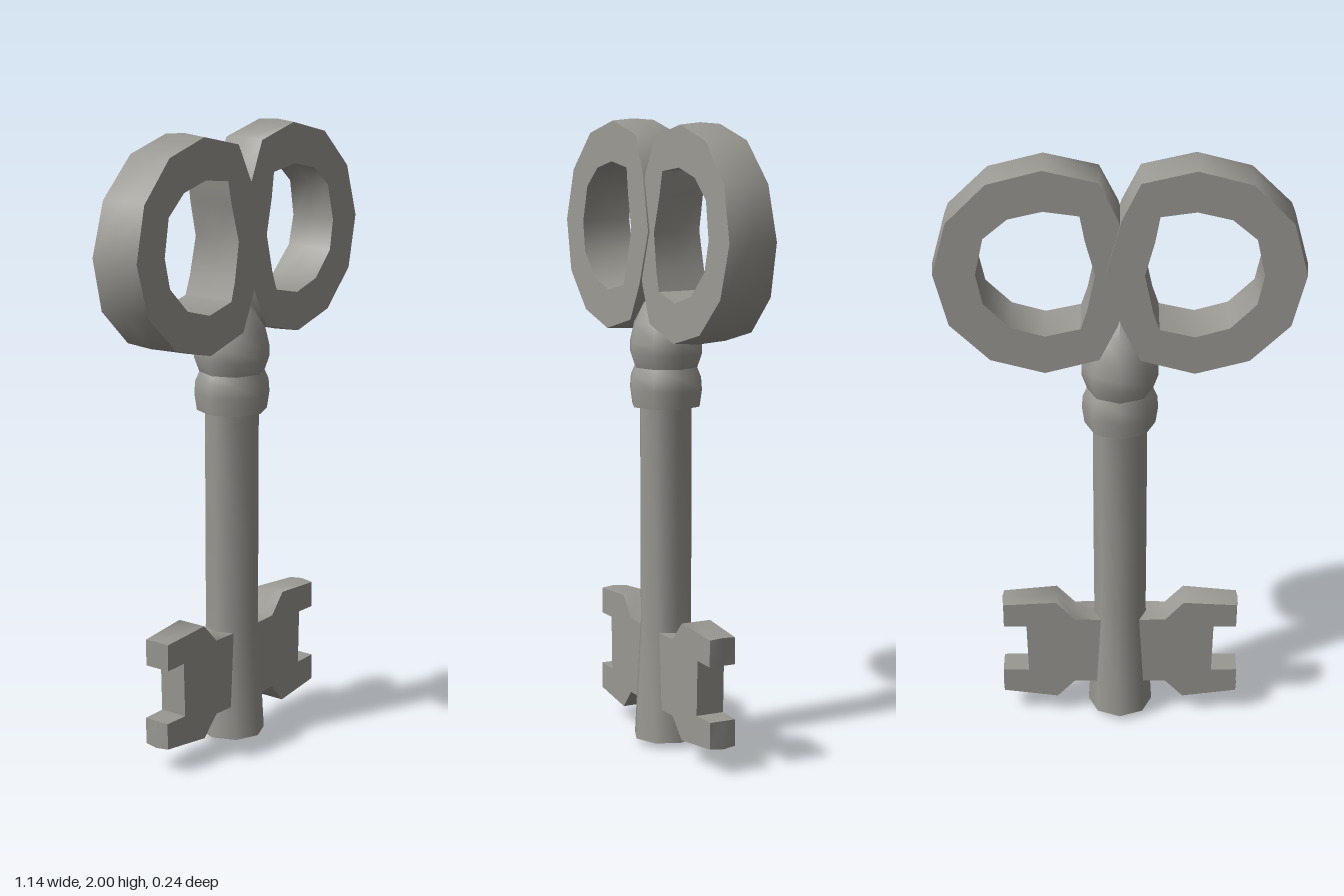
import * as THREE from 'three';
import { toCreasedNormals } from 'three/addons/utils/BufferGeometryUtils.js';

const iron = new THREE.MeshStandardMaterial({ color: 0x9a9892 });
iron.name = 'grey iron';

// Outline for one side, kept counter-clockwise when mirrored
function mirrored(points, side) {
  const list = points.map(([x, y]) => new THREE.Vector2(x * side, y));
  return side < 0 ? list.reverse() : list;
}

// Plate cut from an outline, its half thickness given by a rule of x and y;
// the rim bulges slightly at mid thickness
function plate(name, outline, holes, side, [cx, cy], halfThickness) {
  const shape = new THREE.Shape(mirrored(outline, side));
  shape.holes = holes.map((hole) => new THREE.Path(mirrored(hole, side)));
  const geo = new THREE.ExtrudeGeometry(shape, { depth: 2, steps: 2, bevelEnabled: false });
  geo.translate(0, 0, -1);
  const p = geo.attributes.position;
  for (let i = 0; i < p.count; i++) {
    const x = p.getX(i), y = p.getY(i), z = p.getZ(i);
    const dx = x - cx * side, dy = y - cy, radius = Math.hypot(dx, dy);
    const inset = radius > 0.22 ? 0.006 * Math.abs(z) / radius : 0;
    p.setXYZ(i, x - dx * inset, y - dy * inset, z * halfThickness(Math.abs(x), y));
  }
  const mesh = new THREE.Mesh(toCreasedNormals(geo, 1), iron);
  mesh.name = name;
  return mesh;
}

// Eight-sided turned part
function turned(name, profile) {
  const geo = new THREE.LatheGeometry(mirrored(profile, 1), 8);
  const mesh = new THREE.Mesh(toCreasedNormals(geo, 0.95), iron);
  mesh.name = name;
  return mesh;
}

export function createModel() {
  const key = new THREE.Group();
  key.name = 'key';

  // Shaft, flared at the foot
  key.add(turned('shaft', [[0, 0], [0.106, 0.02], [0.085, 0.4], [0.086, 0.7], [0.086, 1.12]]));

  // Two collar beads, the upper one tapering into the bow
  key.add(turned('lowerCollar', [[0, 1.105], [0.112, 1.105], [0.12, 1.16], [0.117, 1.2], [0.104, 1.23], [0, 1.23]]));
  key.add(turned('upperCollar', [[0, 1.23], [0.104, 1.23], [0.12, 1.275], [0.119, 1.31], [0.105, 1.37], [0.075, 1.43], [0, 1.5]]));

  // Bow rings, thinner towards the top and flattened where they cross
  const ringOuter = [[0.57, 1.66], [0.525, 1.83], [0.4, 1.955], [0.23, 2], [0.06, 1.96], [0, 1.84],
    [-0.05, 1.66], [0, 1.49], [0.06, 1.37], [0.23, 1.325], [0.4, 1.37], [0.525, 1.49]];
  const ringInner = [[0.435, 1.66], [0.415, 1.78], [0.335, 1.84], [0.23, 1.865], [0.12, 1.85], [0.105, 1.77],
    [0.075, 1.66], [0.1, 1.54], [0.12, 1.48], [0.23, 1.455], [0.335, 1.485], [0.415, 1.565]];
  // Key bits
  const bit = [[0.04, 0.13], [0.15, 0.13], [0.21, 0.065], [0.393, 0.08], [0.39, 0.17], [0.305, 0.17],
    [0.31, 0.348], [0.385, 0.345], [0.39, 0.435], [0.21, 0.445], [0.15, 0.38], [0.04, 0.38]];

  for (const side of [1, -1]) {
    const label = side > 0 ? 'left' : 'right';
    // One ring is a hair thicker, so it lies over the other at the crossing
    const extra = side < 0 ? 0.005 : 0;
    key.add(plate(label + 'Ring', ringOuter, [ringInner], side, [0.23, 1.66],
      (x, y) => 0.09 + extra - 0.033 * (y - 1.325)));
    key.add(plate(label + 'Bit', bit, [], side, [0.2, 0.255],
      (x) => 0.056 - 0.035 * Math.max(0, x - 0.04)));
  }
  return key;
}
